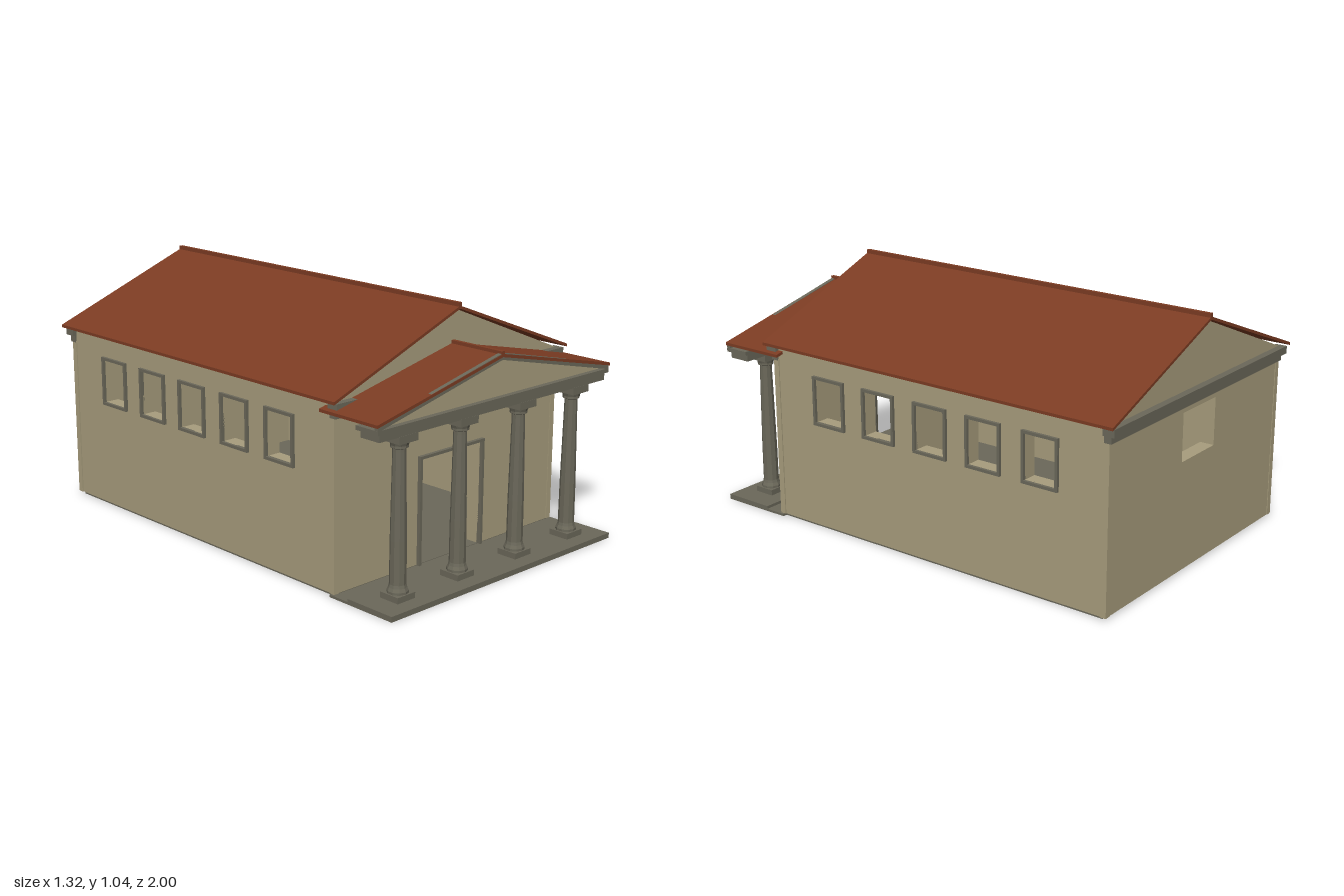
import * as THREE from 'three';

const mat = (name, color) => {
  const m = new THREE.MeshStandardMaterial({ color });
  m.name = name;
  return m;
};

export function createModel() {
  const wallMat = mat('sandy plaster', 0xa89d7d);
  const stoneMat = mat('grey stone', 0x6b685a);
  const roofMat = mat('red tile', 0x7c3c23);
  const model = new THREE.Group();
  model.name = 'columnedHall';

  const add = (name, geo, material, parent = model) => {
    const mesh = new THREE.Mesh(geo, material);
    mesh.name = name;
    parent.add(mesh);
    return mesh;
  };
  // box given by its limits
  const box = (name, material, x0, x1, y0, y1, z0, z1, parent) => {
    const mesh = add(name, new THREE.BoxGeometry(x1 - x0, y1 - y0, z1 - z0), material, parent);
    mesh.position.set((x0 + x1) / 2, (y0 + y1) / 2, (z0 + z1) / 2);
    return mesh;
  };
  const points = (list) => list.map(([x, y]) => new THREE.Vector2(x, y));
  const rect = (x0, x1, y0, y1) => [[x0, y0], [x1, y0], [x1, y1], [x0, y1]];
  // outline with holes, extruded from z0 to z1
  const slab = (outline, z0, z1, holes = []) => {
    const shape = new THREE.Shape(points(outline));
    holes.forEach((h) => shape.holes.push(new THREE.Path(points(h))));
    const geo = new THREE.ExtrudeGeometry(shape, { depth: z1 - z0, bevelEnabled: false });
    return geo.translate(0, 0, z0);
  };
  // inverted V profile: half width, top of eave, top of ridge, thickness
  const chevron = (w, eave, ridge, t) => [
    [-w, eave - t], [0, ridge - t], [w, eave - t], [w, eave], [0, ridge], [-w, eave],
  ];

  const W = 0.625, FRONT = 0.69, BACK = -0.965, T = 0.06, FLOOR = 0.012, TOP = 0.757;
  const APEX = 1.012;

  // floors and steps
  box('floorSlab', stoneMat, -0.615, 0.615, 0, FLOOR, -0.945, 0.69);
  box('porchStep', stoneMat, -0.635, 0.635, 0, 0.022, 0.77, 1);
  box('porchFloor', stoneMat, -0.635, 0.635, 0, 0.01, 0.675, 0.77);

  // gabled front wall with doorway, and back wall with window
  const doorX = 0.172, doorY = 0.445;
  add('frontWall', slab([
    [-W, FLOOR], [-doorX, FLOOR], [-doorX, doorY], [doorX, doorY], [doorX, FLOOR],
    [W, FLOOR], [W, TOP], [0, APEX], [-W, TOP],
  ], FRONT - T, FRONT), wallMat);
  add('backWall', slab(
    [[-W, FLOOR], [W, FLOOR], [W, TOP], [0, APEX], [-W, TOP]],
    BACK, BACK + T, [rect(-0.12, 0.12, 0.47, 0.67)],
  ), wallMat);

  // door frame
  const dx = doorX + 0.012, dy = doorY + 0.012;
  add('doorFrame', slab([
    [-dx, 0.01], [-doorX, 0.01], [-doorX, doorY], [doorX, doorY], [doorX, 0.01],
    [dx, 0.01], [dx, dy], [-dx, dy],
  ], FRONT - 0.01, FRONT + 0.015), stoneMat);

  // side walls with five framed windows each
  const windows = [0.39, 0.125, -0.14, -0.4, -0.665];
  for (const side of [1, -1]) {
    const group = new THREE.Group();
    group.name = side > 0 ? 'leftSide' : 'rightSide';
    group.rotation.y = side * Math.PI / 2;
    model.add(group);
    // local x runs along the building, local z points outward
    const hole = (z, m) => rect(-side * z - 0.083 + m, -side * z + 0.083 - m, 0.457 + m, 0.667 - m);
    const ends = [-side * (FRONT - T), -side * (BACK + T)].sort((a, b) => a - b);
    add('sideWall', slab(rect(ends[0], ends[1], FLOOR, TOP), W - T, W,
      windows.map((z) => hole(z, 0.012))), wallMat, group);
    windows.forEach((z) => add('windowFrame',
      slab(hole(z, 0), W - 0.005, W + 0.012, [hole(z, 0.012)]), stoneMat, group));

    // corner pilasters
    for (const z of [FRONT - 0.01, BACK + 0.01]) {
      box('cornerPilaster', wallMat, side * 0.617 - 0.0125, side * 0.617 + 0.0125,
        FLOOR, 0.7, z - 0.013, z + 0.013);
    }
  }

  // two-step cornices under the gables
  for (const [name, z, dir] of [['frontCornice', FRONT, 1], ['backCornice', BACK, -1]]) {
    const tier = (x, y0, y1, out) => box(name, stoneMat, -x, x, y0, y1,
      Math.min(z - dir * 0.02, z + dir * out), Math.max(z - dir * 0.02, z + dir * out));
    tier(0.632, 0.695, 0.725, 0.012);
    tier(0.642, 0.725, 0.757, 0.03);
  }

  // main roof
  add('mainRoof', slab(chevron(0.66, 0.77, 1.026, 0.012), -1, 0.725), roofMat);
  box('mainRidge', roofMat, -0.008, 0.008, 1.015, 1.039, -1, 0.725);

  // porch beam, pediment and roof
  box('porchBeam', stoneMat, -0.64, 0.64, 0.66, 0.692, 0.84, 0.935);
  box('porchBeamCap', stoneMat, -0.656, 0.656, 0.69, 0.707, 0.832, 0.943);
  add('pediment', slab([[-0.63, 0.705], [0.63, 0.705], [0, 0.86]], 0.86, 0.92), wallMat);
  add('rakingCornice', slab(chevron(0.655, 0.729, 0.879, 0.026), 0.925, 0.943), stoneMat);
  add('porchRoof', slab(chevron(0.66, 0.73, 0.876, 0.012), 0.645, 0.945), roofMat);
  box('porchRidge', roofMat, -0.008, 0.008, 0.868, 0.887, 0.645, 0.945);

  // columns
  const shaft = new THREE.LatheGeometry(points([
    [0, 0.044], [0.042, 0.044], [0.042, 0.055], [0.036, 0.068], [0.033, 0.08], [0.032, 0.25],
    [0.026, 0.59], [0.026, 0.602], [0.034, 0.606], [0.034, 0.615], [0.04, 0.632], [0, 0.632],
  ]), 10).toNonIndexed();
  shaft.computeVertexNormals();
  for (const x of [-0.491, -0.167, 0.167, 0.491]) {
    const column = new THREE.Group();
    column.name = 'column';
    column.position.set(x, 0, 0.888);
    model.add(column);
    box('plinth', stoneMat, -0.046, 0.046, 0.022, 0.046, -0.046, 0.046, column);
    add('shaft', shaft, stoneMat, column);
    box('abacus', stoneMat, -0.048, 0.048, 0.631, 0.661, -0.048, 0.048, column);
  }
  return model;
}
